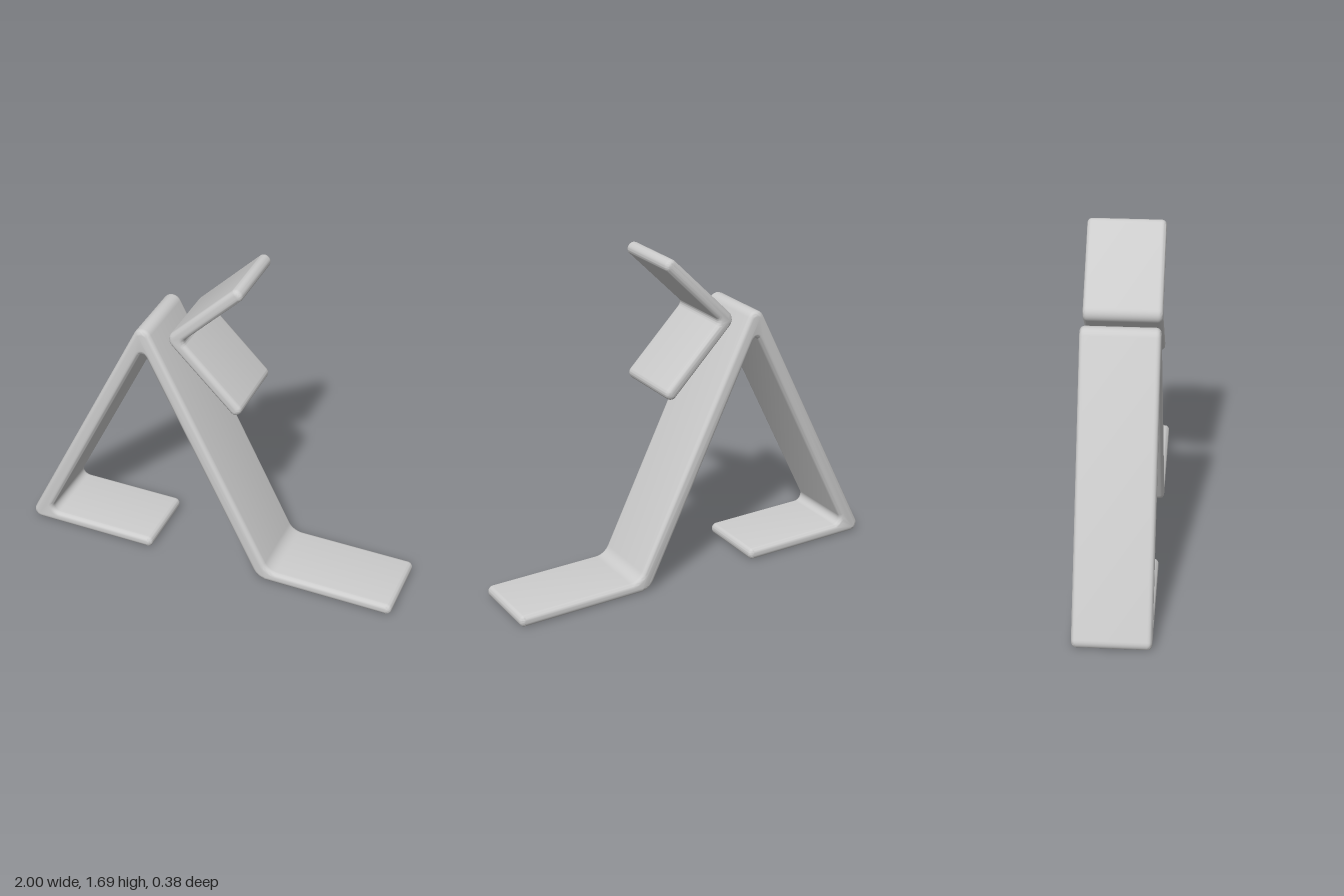
import * as THREE from 'three';
import { toCreasedNormals } from 'three/addons/utils/BufferGeometryUtils.js';

const HALF_WIDTH = 0.19;
const BEVEL = 0.024;

// Closed outline from corners [x, y, radius], each rounded by a true arc
function roundedOutline(corners) {
  const points = [];
  const n = corners.length;
  corners.forEach(([x, y, r], i) => {
    const p = new THREE.Vector2(x, y);
    const a = new THREE.Vector2(...corners[(i + n - 1) % n].slice(0, 2)).sub(p).normalize();
    const b = new THREE.Vector2(...corners[(i + 1) % n].slice(0, 2)).sub(p).normalize();
    const half = Math.acos(THREE.MathUtils.clamp(a.dot(b), -1, 1)) / 2;
    const centre = p.clone().addScaledVector(a.clone().add(b).normalize(), r / Math.sin(half));
    const from = p.clone().addScaledVector(a, r / Math.tan(half)).sub(centre);
    const to = p.clone().addScaledVector(b, r / Math.tan(half)).sub(centre);
    const turn = Math.atan2(from.cross(to), from.dot(to));
    const steps = 8;
    for (let k = 0; k <= steps; k++) {
      points.push(from.clone().rotateAround(new THREE.Vector2(), turn * k / steps).add(centre));
    }
  });
  return new THREE.Shape(points);
}

// Bent strip: outline extruded along z with softened edges
function bentStrip(name, corners, material) {
  const geometry = new THREE.ExtrudeGeometry(roundedOutline(corners), {
    depth: 2 * (HALF_WIDTH - BEVEL),
    bevelEnabled: true,
    bevelThickness: BEVEL,
    bevelSize: BEVEL,
    bevelOffset: -BEVEL,
    bevelSegments: 5,
  });
  geometry.translate(0, 0, BEVEL - HALF_WIDTH);
  const mesh = new THREE.Mesh(toCreasedNormals(geometry, 0.7), material);
  mesh.name = name;
  return mesh;
}

export function createModel() {
  const group = new THREE.Group();
  group.name = 'bentStripFigure';
  const grey = new THREE.MeshStandardMaterial({ color: 0xcccccc });
  grey.name = 'light grey';

  // Two sloping legs, each ending in a flat foot that points to +x
  group.add(bentStrip('legsAndFeet', [
    [-1.025, 0, 0.041],
    [-0.308, 0, 0.028],
    [-0.308, 0.06, 0.028],
    [-0.905, 0.06, 0.035],
    [-0.325, 1.235, 0.018],
    [0.285, 0, 0.09],
    [1.0, 0, 0.028],
    [1.0, 0.06, 0.028],
    [0.345, 0.06, 0.08],
    [-0.325, 1.41, 0.047],
  ], grey));

  // Floating open V beside the apex
  const midY = 1.338;
  group.add(bentStrip('openHead', [
    [-0.207, midY, 0.05],
    [0.154, midY - 0.361, 0.03],
    [0.199, midY - 0.316, 0.03],
    [-0.117, midY, 0.025],
    [0.199, midY + 0.316, 0.03],
    [0.154, midY + 0.361, 0.03],
  ], grey));

  return group;
}
